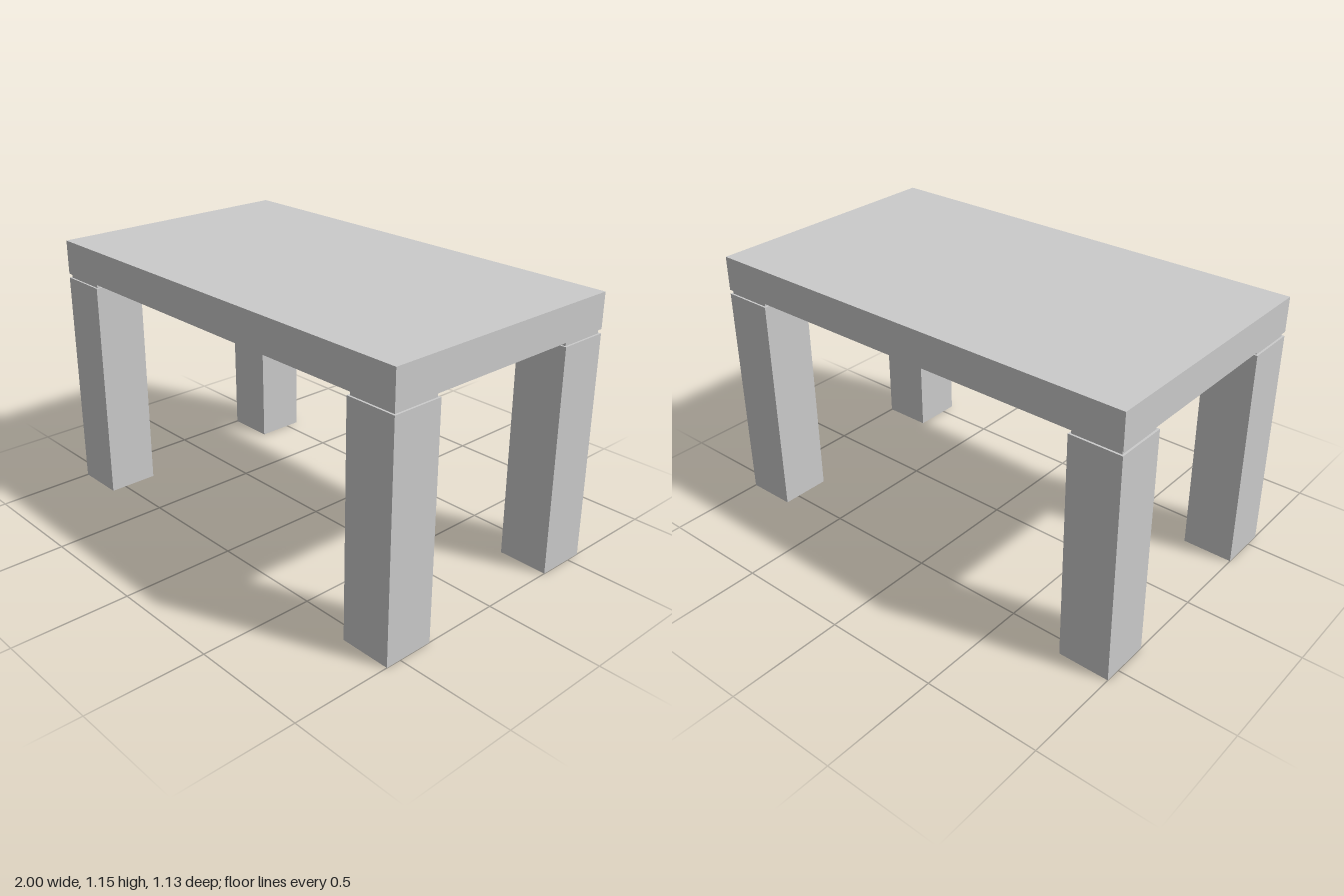
import * as THREE from 'three';

const material = new THREE.MeshStandardMaterial({ color: 0xcccccc, flatShading: true });

// Box resting on height y0
function box(name, w, h, d, x, y0, z) {
  const mesh = new THREE.Mesh(new THREE.BoxGeometry(w, h, d), material);
  mesh.name = name;
  mesh.position.set(x, y0 + h / 2, z);
  return mesh;
}

export function createModel() {
  const table = new THREE.Group();
  table.name = 'table';

  // Thick slab top
  table.add(box('tableTop', 2, 0.15, 1.134, 0, 1, 0));

  // Four square legs, each with a slightly narrower spacer under the top
  for (const sx of [-1, 1]) {
    for (const sz of [-1, 1]) {
      const leg = new THREE.Group();
      leg.name = (sz > 0 ? 'front' : 'back') + (sx > 0 ? 'Left' : 'Right') + 'Leg';
      leg.position.set(sx * 0.8885, 0, sz * 0.4555);
      leg.add(box('post', 0.223, 0.982, 0.223, 0, 0, 0));
      leg.add(box('spacer', 0.206, 0.018, 0.206, 0, 0.982, 0));
      table.add(leg);
    }
  }
  return table;
}
